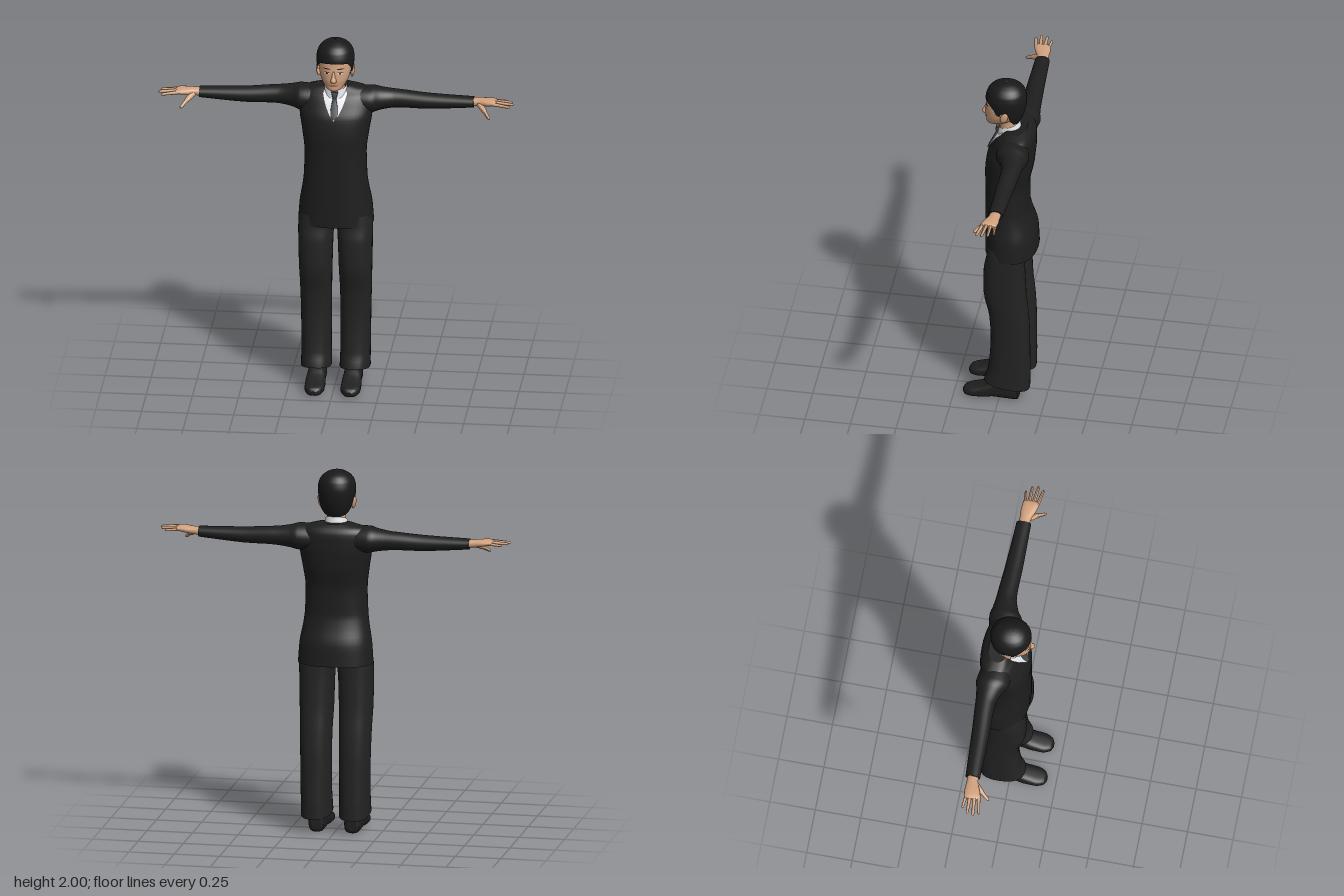
import * as THREE from 'three';

const mat = (name, color, side = THREE.FrontSide) => {
  const m = new THREE.MeshStandardMaterial({ color, side });
  m.name = name;
  return m;
};
const M = {
  suit: mat('black suit', 0x1e1e1f, THREE.DoubleSide),
  trousers: mat('charcoal trousers', 0x232324, THREE.DoubleSide),
  hair: mat('black hair', 0x191919, THREE.DoubleSide),
  shoes: mat('black leather', 0x1f1f20),
  skin: mat('skin', 0xd2a27f),
  shirt: mat('white shirt', 0xe6e7ea, THREE.DoubleSide),
  tie: mat('grey tie', 0x44494d),
  lips: mat('lips', 0xb0705f, THREE.DoubleSide),
  dark: mat('eye and brow', 0x2a201c, THREE.DoubleSide),
};

// Smooth monotone interpolation of section rows [t, ca, cb, ra, rb] at t
function section(rows, t) {
  const last = rows.length - 2;
  let i = 0;
  while (i < last && t > rows[i + 1][0]) i++;
  const slope = (j, c) => (rows[j + 1][c] - rows[j][c]) / (rows[j + 1][0] - rows[j][0]);
  const tangent = (j, c) => {
    if (j === 0) return slope(0, c);
    if (j > last) return slope(last, c);
    const a = slope(j - 1, c), b = slope(j, c);
    return a * b <= 0 ? 0 : (2 * a * b) / (a + b);
  };
  const h = rows[i + 1][0] - rows[i][0];
  const u = THREE.MathUtils.clamp((t - rows[i][0]) / h, 0, 1), v = 1 - u;
  return [1, 2, 3, 4].map((c) =>
    rows[i][c] * (1 + 2 * u) * v * v + rows[i + 1][c] * u * u * (3 - 2 * u)
    + h * u * v * (v * tangent(i, c) - u * tangent(i + 1, c)));
}

const upright = (t, a, b) => [a, t, b];
const alongX = (side) => (t, a, b) => [side * t, b, a];
const alongZ = (side) => (t, a, b) => [side * a, b, t];

// Skin a row of superellipse sections; hem(sin) trims the lower edge
function loft(rows, { place = upright, p = 2, seg = 36, steps = 4, hem, caps = true } = {}) {
  const ts = [];
  rows.forEach((r, i) => {
    const n = i < rows.length - 1 ? steps : 1;
    for (let k = 0; k < n; k++) ts.push(n === 1 ? r[0] : r[0] + ((rows[i + 1][0] - r[0]) * k) / n);
  });
  const bend = (v) => Math.sign(v) * Math.abs(v) ** (2 / p);
  const pos = [], idx = [];
  for (const t0 of ts) for (let j = 0; j < seg; j++) {
    const c = Math.cos((j / seg) * 2 * Math.PI), s = Math.sin((j / seg) * 2 * Math.PI);
    const t = hem ? Math.max(t0, hem(s)) : t0;
    const [ca, cb, ra, rb] = section(rows, t);
    pos.push(...place(t, ca + ra * bend(c), cb + rb * bend(s)));
  }
  // Handedness of the placement decides the corner order
  const o = new THREE.Vector3(...place(0, 0, 0));
  const [T, A, B] = [[1, 0, 0], [0, 1, 0], [0, 0, 1]].map((e) => new THREE.Vector3(...place(...e)).sub(o));
  const flip = T.cross(B).dot(A) < 0;
  const tri = (a, b, c) => idx.push(a, flip ? c : b, flip ? b : c);
  for (let i = 0; i < ts.length - 1; i++) for (let j = 0; j < seg; j++) {
    const k = (j + 1) % seg, a = i * seg;
    tri(a + j, a + seg + j, a + k);
    tri(a + k, a + seg + j, a + seg + k);
  }
  if (caps) for (const end of [0, ts.length - 1]) {
    const base = pos.length / 3;
    const ring = pos.slice(end * seg * 3, (end + 1) * seg * 3);
    const mid = [0, 1, 2].map((c) => ring.reduce((s, v, n) => s + (n % 3 === c ? v : 0), 0) / seg);
    pos.push(...ring, ...mid);
    for (let j = 0; j < seg; j++) {
      const k = (j + 1) % seg;
      if (end) tri(base + j, base + seg, base + k); else tri(base + j, base + k, base + seg);
    }
  }
  return finish(pos, idx);
}

function finish(pos, idx) {
  const g = new THREE.BufferGeometry();
  g.setAttribute('position', new THREE.Float32BufferAttribute(pos, 3));
  g.setIndex(idx);
  g.computeVertexNormals();
  return g;
}

// Thin panel [y, x0, x1] laid on the front of an upright loft
function patch(rows, edges, p, lift, n = 8) {
  const pos = [], idx = [];
  edges.forEach(([y, x0, x1], i) => {
    const [, cz, rx, rz] = section(rows, y);
    for (let j = 0; j <= n; j++) {
      const x = x0 + ((x1 - x0) * j) / n;
      pos.push(x, y, cz + rz * (1 - Math.min(1, Math.abs(x / rx)) ** p) ** (1 / p) + lift);
      if (i && j) {
        const d = i * (n + 1) + j, b = d - n - 1;
        idx.push(b - 1, b, d, b - 1, d, d - 1);
      }
    }
  });
  return finish(pos, idx);
}

// Eye-shaped outline for patches
const lens = (x, y, w, h) => [-1, -0.6, 0, 0.6, 1].map((v) => {
  const half = w * Math.sqrt(1.02 - v * v);
  return [y + v * h, x - half, x + half];
});

const JACKET = [
  [0.94, 0, -0.053, 0.205, 0.143], [1.05, 0, -0.05, 0.197, 0.14], [1.15, 0, -0.035, 0.18, 0.125],
  [1.22, 0, -0.028, 0.172, 0.118], [1.35, 0, -0.028, 0.168, 0.118], [1.48, 0, -0.04, 0.183, 0.13],
  [1.56, 0, -0.05, 0.196, 0.128], [1.62, 0, -0.065, 0.2, 0.114], [1.67, 0, -0.078, 0.195, 0.098],
  [1.7, 0, -0.085, 0.17, 0.075], [1.72, 0, -0.08, 0.1, 0.055],
];
const HEAD = [
  [1.733, 0, 0.05, 0.022, 0.028], [1.742, 0, 0.04, 0.04, 0.047], [1.765, 0, 0.015, 0.06, 0.074],
  [1.8, 0, -0.002, 0.078, 0.096], [1.85, 0, -0.012, 0.088, 0.103], [1.9, 0, -0.018, 0.09, 0.103],
  [1.95, 0, -0.02, 0.078, 0.088], [1.985, 0, -0.02, 0.03, 0.035],
];
const HAIR = [
  [1.745, 0, -0.03, 0.058, 0.058], [1.79, 0, -0.022, 0.085, 0.088], [1.84, 0, -0.019, 0.097, 0.106],
  [1.9, 0, -0.019, 0.103, 0.112], [1.94, 0, -0.02, 0.096, 0.104], [1.97, 0, -0.021, 0.076, 0.084],
  [1.99, 0, -0.022, 0.046, 0.052], [1.998, 0, -0.022, 0.02, 0.024], [2.0, 0, -0.022, 0.002, 0.002],
];
const SLEEVE = [
  [0.08, -0.075, 1.635, 0.08, 0.07], [0.19, -0.083, 1.637, 0.09, 0.073], [0.24, -0.093, 1.638, 0.07, 0.062],
  [0.32, -0.1, 1.638, 0.054, 0.051], [0.5, -0.093, 1.632, 0.048, 0.043], [0.745, -0.088, 1.637, 0.04, 0.029],
];
const PALM = [
  [0.72, -0.088, 1.638, 0.03, 0.022], [0.77, -0.085, 1.641, 0.031, 0.021], [0.82, -0.076, 1.645, 0.042, 0.019],
  [0.86, -0.07, 1.648, 0.045, 0.014], [0.872, -0.07, 1.648, 0.036, 0.008],
];
const TROUSER = [
  [0.08, 0.105, -0.04, 0.083, 0.126], [0.12, 0.105, -0.042, 0.082, 0.125], [0.2, 0.106, -0.054, 0.081, 0.114],
  [0.4, 0.107, -0.06, 0.082, 0.106], [0.55, 0.108, -0.052, 0.085, 0.107], [0.7, 0.108, -0.03, 0.09, 0.115],
  [0.85, 0.107, -0.027, 0.094, 0.111], [0.93, 0.105, -0.033, 0.097, 0.103], [1.0, 0.1, -0.035, 0.09, 0.1],
];
const SHOE = [
  [-0.108, 0.098, 0.05, 0.025, 0.035], [-0.1, 0.098, 0.05, 0.042, 0.05], [-0.04, 0.098, 0.06, 0.049, 0.06],
  [0.03, 0.098, 0.056, 0.049, 0.052], [0.08, 0.098, 0.041, 0.054, 0.041], [0.14, 0.098, 0.03, 0.054, 0.03],
  [0.185, 0.098, 0.024, 0.038, 0.023], [0.2, 0.098, 0.02, 0.014, 0.01],
];
// Hairline height against sin of the angle, from nape to forehead
const HAIRLINE = [[-1, 1.748], [-0.55, 1.765], [-0.32, 1.8], [-0.18, 1.855], [0.1, 1.85], [0.2, 1.828],
  [0.36, 1.832], [0.5, 1.865], [0.72, 1.89], [1, 1.896]];
function hairline(s) {
  const i = Math.max(1, HAIRLINE.findIndex(([v]) => v >= s - 1e-9));
  const [s0, y0] = HAIRLINE[i - 1], [s1, y1] = HAIRLINE[i];
  return THREE.MathUtils.mapLinear(s, s0, s1, y0, y1);
}

export function createModel() {
  const model = new THREE.Group();
  const add = (name, geometry, material) => {
    const m = new THREE.Mesh(geometry, material);
    m.name = name;
    model.add(m);
    return m;
  };
  // Tapered finger from a to b
  const finger = (name, side, a, b, r) => {
    const A = new THREE.Vector3(side * a[0], a[1], a[2]), B = new THREE.Vector3(side * b[0], b[1], b[2]);
    const len = A.distanceTo(B), g = new THREE.CapsuleGeometry(r, len - r, 5, 12), q = g.attributes.position;
    for (let i = 0; i < q.count; i++) {
      const k = 0.85 - (0.3 * q.getY(i)) / len;
      q.setX(i, q.getX(i) * k).setZ(i, q.getZ(i) * k);
    }
    g.computeVertexNormals();
    const m = add(name, g, M.skin);
    m.position.copy(A).add(B).multiplyScalar(0.5);
    m.quaternion.setFromUnitVectors(new THREE.Vector3(0, 1, 0), B.sub(A).normalize());
  };

  // Clothing on the torso
  add('jacket', loft(JACKET, { p: 2.3, seg: 48 }), M.suit);
  add('shirtFront', patch(JACKET, [[1.56, -0.002, 0.002], [1.59, -0.025, 0.025], [1.63, -0.045, 0.045],
    [1.66, -0.056, 0.056], [1.69, -0.065, 0.065], [1.705, -0.06, 0.06]], 2.3, 0.005), M.shirt);
  add('collar', loft([[1.65, 0, -0.04, 0.076, 0.07], [1.69, 0, -0.037, 0.067, 0.064], [1.735, 0, -0.036, 0.058, 0.056]],
    { place: (t, a, b) => [a, t - 0.35 * (b + 0.036), b], caps: false }), M.shirt);
  add('tie', loft([[1.565, 0, 0.076, 0.006, 0.008], [1.59, 0, 0.065, 0.021, 0.009], [1.63, 0, 0.046, 0.018, 0.009],
    [1.675, 0, 0.029, 0.01, 0.009], [1.685, 0, 0.029, 0.013, 0.011], [1.71, 0, 0.025, 0.019, 0.011]],
  { p: 3, seg: 20 }), M.tie);

  // Head and face
  add('neck', loft([[1.66, 0, -0.036, 0.054, 0.052], [1.72, 0, -0.033, 0.05, 0.05], [1.8, 0, -0.03, 0.054, 0.055]]), M.skin);
  add('head', loft(HEAD, { p: 2.2 }), M.skin);
  add('hair', loft(HAIR, { p: 2.1, seg: 96, steps: 8, hem: hairline, caps: false }), M.hair);
  add('nose', loft([[1.787, 0, 0.092, 0.006, 0.006], [1.793, 0, 0.094, 0.016, 0.017], [1.802, 0, 0.093, 0.016, 0.021],
    [1.82, 0, 0.09, 0.01, 0.015], [1.85, 0, 0.084, 0.007, 0.009]], { seg: 16 }), M.skin);
  add('mouth', patch(HEAD, lens(0, 1.77, 0.024, 0.007), 2.2, 0.003), M.lips);

  for (const side of [1, -1]) {
    add('eyeWhite', patch(HEAD, lens(side * 0.036, 1.841, 0.015, 0.005), 2.2, 0.002), M.shirt);
    add('iris', patch(HEAD, lens(side * 0.036, 1.841, 0.006, 0.005), 2.2, 0.003), M.dark);
    add('upperLid', patch(HEAD, lens(side * 0.036, 1.847, 0.017, 0.002), 2.2, 0.003), M.dark);
    add('eyebrow', patch(HEAD, lens(side * 0.038, 1.866, 0.022, 0.003), 2.2, 0.003), M.dark);
    const ear = add('ear', new THREE.SphereGeometry(1, 16, 12), M.skin);
    ear.scale.set(0.01, 0.036, 0.021);
    ear.position.set(side * 0.094, 1.822, -0.022);
    ear.rotation.set(-0.2, side * 0.3, -side * 0.15);

    // Arm and hand
    add('sleeve', loft(SLEEVE, { place: alongX(side) }), M.suit);
    add('palm', loft(PALM, { place: alongX(side), p: 2.3, seg: 24 }), M.skin);
    finger('indexFinger', side, [0.85, 1.648, -0.036], [0.943, 1.64, -0.018], 0.0105);
    finger('middleFinger', side, [0.855, 1.65, -0.058], [0.959, 1.645, -0.047], 0.0108);
    finger('ringFinger', side, [0.855, 1.65, -0.081], [0.952, 1.645, -0.08], 0.0102);
    finger('littleFinger', side, [0.845, 1.646, -0.102], [0.925, 1.64, -0.11], 0.009);
    finger('thumbBase', side, [0.775, 1.635, -0.07], [0.812, 1.606, -0.022], 0.018);
    finger('thumb', side, [0.805, 1.612, -0.03], [0.837, 1.581, 0.014], 0.0115);

    // Leg and shoe
    const onLeg = (t, a, b) => [side * a, t, b];
    add('trouserLeg', loft(TROUSER, { place: onLeg, p: 2.5, hem: (s) => 0.1 + 0.02 * s, caps: false }), M.trousers);
    add('ankle', loft([[0.06, 0.098, -0.04, 0.048, 0.058], [0.2, 0.1, -0.045, 0.05, 0.055]], { place: onLeg }), M.shoes);
    add('shoe', loft(SHOE, { place: alongZ(side), p: 2.8 }), M.shoes);
  }
  return model;
}
